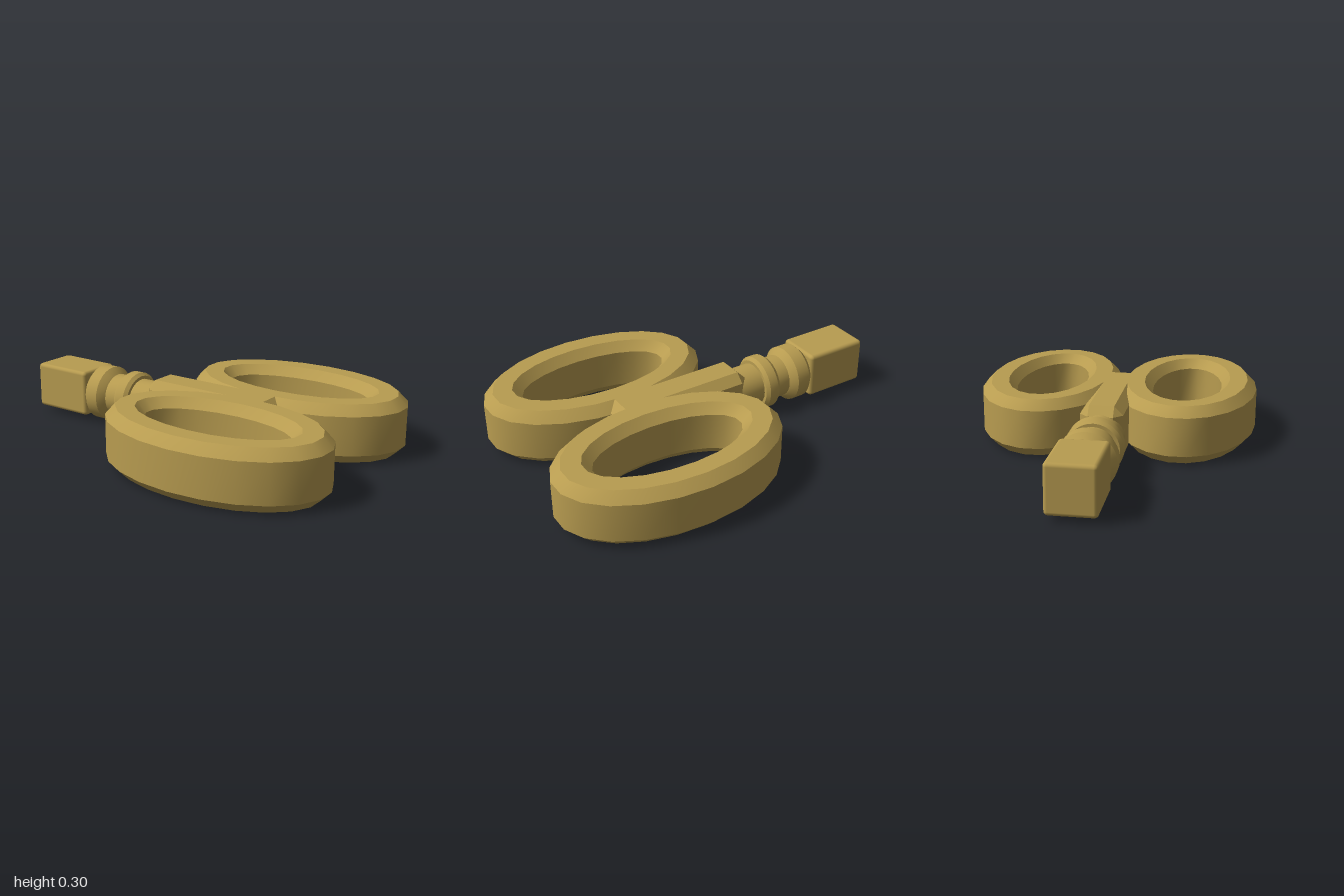
import * as THREE from 'three';
import { toCreasedNormals } from 'three/addons/utils/BufferGeometryUtils.js';
import { RoundedBoxGeometry } from 'three/addons/geometries/RoundedBoxGeometry.js';
import { ConvexGeometry } from 'three/addons/geometries/ConvexGeometry.js';

// Elliptical ring with a chamfered cross-section, swept in a loop
function ringGeometry(sides) {
  // each entry: x radius, z radius, height
  const section = [
    [0.375, 0.6, 0.05], [0.375, 0.6, 0.25], [0.325, 0.55, 0.3], [0.23, 0.45, 0.3],
    [0.185, 0.4, 0.25], [0.185, 0.4, 0.05], [0.23, 0.45, 0], [0.325, 0.55, 0],
  ];
  const n = section.length;
  const pos = [], index = [];
  for (let i = 0; i < sides; i++) {
    const a = (i / sides) * Math.PI * 2;
    for (const [rx, rz, y] of section) pos.push(rx * Math.cos(a), y, rz * Math.sin(a));
    for (let j = 0; j < n; j++) {
      const i2 = (i + 1) % sides, j2 = (j + 1) % n;
      const p = i * n + j, q = i * n + j2, r = i2 * n + j, s = i2 * n + j2;
      index.push(p, q, r, q, s, r);
    }
  }
  const g = new THREE.BufferGeometry();
  g.setAttribute('position', new THREE.Float32BufferAttribute(pos, 3));
  g.setIndex(index);
  return toCreasedNormals(g, 0.68);
}

// Box with all its edges cut at 45 degrees
function chamferedBox(w, h, d, c) {
  const pts = [];
  for (const sx of [-1, 1]) for (const sy of [-1, 1]) for (const sz of [-1, 1]) {
    const x = w / 2, y = h / 2, z = d / 2;
    pts.push(
      new THREE.Vector3(sx * x, sy * (y - c), sz * (z - c)),
      new THREE.Vector3(sx * (x - c), sy * y, sz * (z - c)),
      new THREE.Vector3(sx * (x - c), sy * (y - c), sz * z));
  }
  return new ConvexGeometry(pts);
}

export function createModel() {
  const model = new THREE.Group();
  const brass = new THREE.MeshStandardMaterial({ color: 0xb89c50 });
  brass.name = 'brass';
  const add = (name, geometry, x, y, z) => {
    const mesh = new THREE.Mesh(geometry, brass);
    mesh.name = name;
    mesh.position.set(x, y, z);
    model.add(mesh);
  };

  // Pair of finger rings
  const ring = ringGeometry(22);
  add('leftRing', ring, 0.375, 0, 0.4);
  add('rightRing', ring, -0.375, 0, 0.4);

  // Bar joining the rings
  add('centreBar', chamferedBox(0.22, 0.3, 0.75, 0.046), 0, 0.15, 0.125);

  // Turned shaft with two collars: radius, distance towards the back
  const profile = [
    [0, 0.16], [0.113, 0.16], [0.113, 0.35], [0.13, 0.35], [0.145, 0.368], [0.145, 0.418],
    [0.13, 0.438], [0.113, 0.438], [0.113, 0.515], [0.12, 0.52], [0.148, 0.55],
    [0.148, 0.622], [0.118, 0.652], [0, 0.652],
  ].map(([r, d]) => new THREE.Vector2(r, d));
  const shaft = new THREE.LatheGeometry(profile, 28);
  shaft.rotateX(-Math.PI / 2);
  add('collaredShaft', toCreasedNormals(shaft, 0.5), 0, 0.15, 0);

  // Square head at the back
  add('squareHead', new RoundedBoxGeometry(0.245, 0.246, 0.35, 2, 0.02), 0, 0.152, -0.825);

  return model;
}
